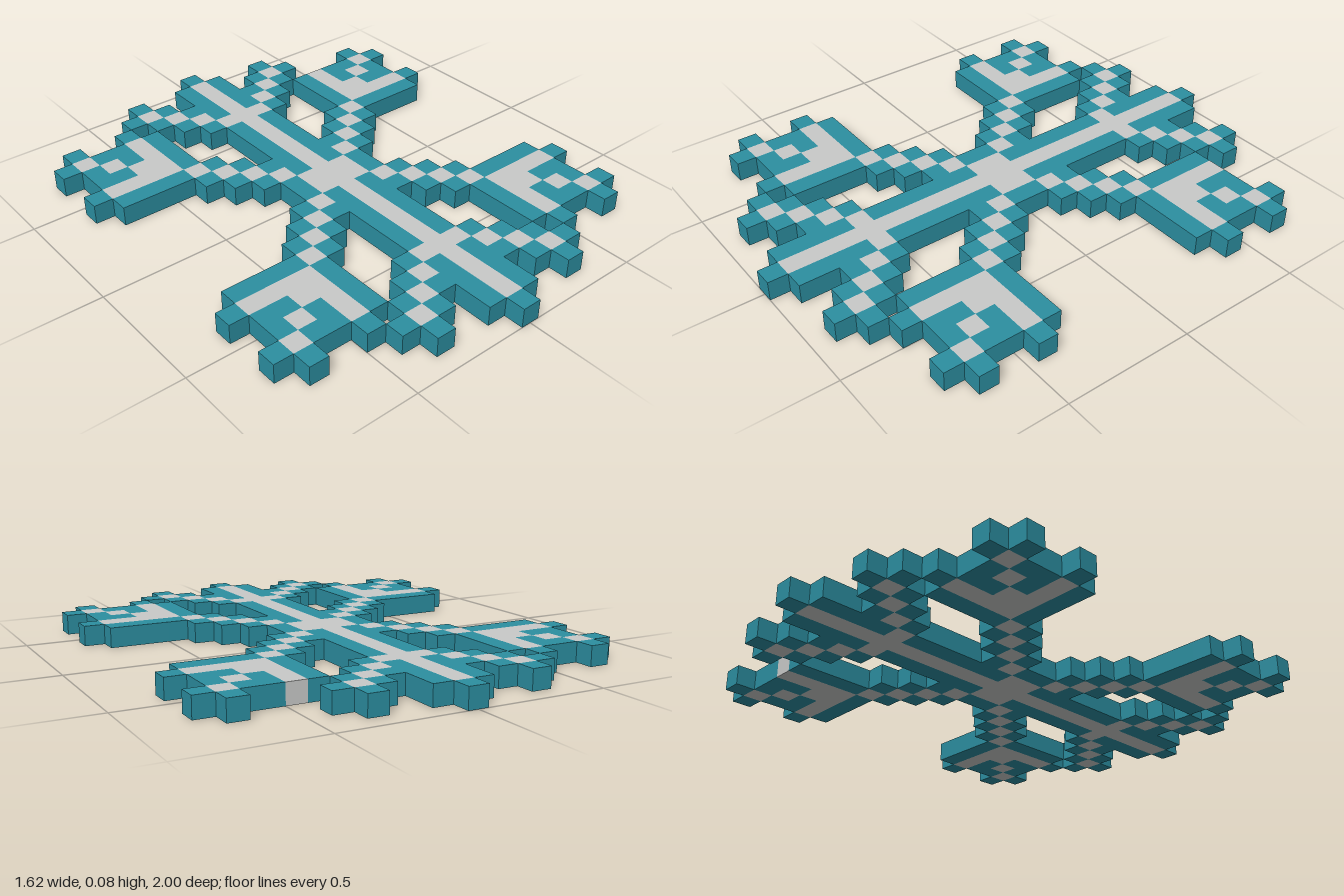
import * as THREE from 'three';

// Half pattern from the centre column outwards, one line per row from the
// back tip to the middle: T = teal border, G = grey core, . = empty
const PATTERN = [
  'T',
  'GT..T',
  'GT.TGT',
  'GTTGT.T..T',
  'GTGT.TGTTGT',
  'GGT..TGTGT',
  'GT...TGGTT',
  'GT...TGGGGT',
  'GT..TGTTTT',
  'GT.TGT',
  'GTTGT',
  'GTGT',
  'GGT',
];
const ROWS = PATTERN.length * 2;
const REACH = 10; // columns on each side of the centre
const S = 2 / ROWS; // tile size

// Tile at a column and row, mirrored left-right and front-back
function tileAt(col, row) {
  if (row < 0 || row >= ROWS) return '.';
  if (col === 6 && row === 3) return '.'; // one tile is missing at the back left
  const line = PATTERN[Math.min(row, ROWS - 1 - row)];
  return line[Math.abs(col)] ?? '.';
}

// Part of the snowflake that a tile belongs to
function partAt(col, row) {
  const c = Math.abs(col);
  const r = Math.min(row, ROWS - 1 - row);
  const side = col > 0 ? 'left' : 'right';
  const end = row < ROWS / 2 ? 'Back' : 'Front';
  if (c <= 1) return 'spine';
  if (r <= 4 && c + r <= 7 && c <= 5) return side + end + 'Twig';
  return side + end + 'Arm';
}

// Face directions: normal, then two tangents with u x v = normal
const FACES = [
  [[0, 1, 0], [0, 0, 1], [1, 0, 0]],
  [[0, -1, 0], [1, 0, 0], [0, 0, 1]],
  [[1, 0, 0], [0, 1, 0], [0, 0, 1]],
  [[-1, 0, 0], [0, 0, 1], [0, 1, 0]],
  [[0, 0, 1], [1, 0, 0], [0, 1, 0]],
  [[0, 0, -1], [0, 1, 0], [1, 0, 0]],
];
const CORNERS = [[-1, -1], [1, -1], [1, 1], [-1, -1], [1, 1], [-1, 1]];

// Adds the exposed faces of one tile
function addTile(data, col, row) {
  const centre = [col * S, S / 2, -1 + (row + 0.5) * S];
  for (const [n, u, v] of FACES) {
    if (n[1] === 0 && tileAt(col + n[0], row + n[2]) !== '.') continue;
    for (const [a, b] of CORNERS) {
      for (let k = 0; k < 3; k++) {
        data.positions.push(centre[k] + (n[k] + a * u[k] + b * v[k]) * S / 2);
        data.normals.push(n[k]);
      }
    }
  }
}

export function createModel() {
  const materials = {
    T: new THREE.MeshStandardMaterial({ name: 'teal', color: 0x2c8fa1 }),
    G: new THREE.MeshStandardMaterial({ name: 'light grey', color: 0xc9cac9 }),
  };
  const suffix = { T: 'Border', G: 'Core' };

  // Collect the tiles by part and colour
  const parts = new Map();
  for (let row = 0; row < ROWS; row++) {
    for (let col = -REACH; col <= REACH; col++) {
      const tile = tileAt(col, row);
      if (tile === '.') continue;
      const name = partAt(col, row) + suffix[tile];
      if (!parts.has(name)) parts.set(name, { tile, positions: [], normals: [] });
      addTile(parts.get(name), col, row);
    }
  }

  const group = new THREE.Group();
  group.name = 'snowflake';
  for (const [name, data] of parts) {
    const geometry = new THREE.BufferGeometry();
    geometry.setAttribute('position', new THREE.Float32BufferAttribute(data.positions, 3));
    geometry.setAttribute('normal', new THREE.Float32BufferAttribute(data.normals, 3));
    const mesh = new THREE.Mesh(geometry, materials[data.tile]);
    mesh.name = name;
    group.add(mesh);
  }
  return group;
}
